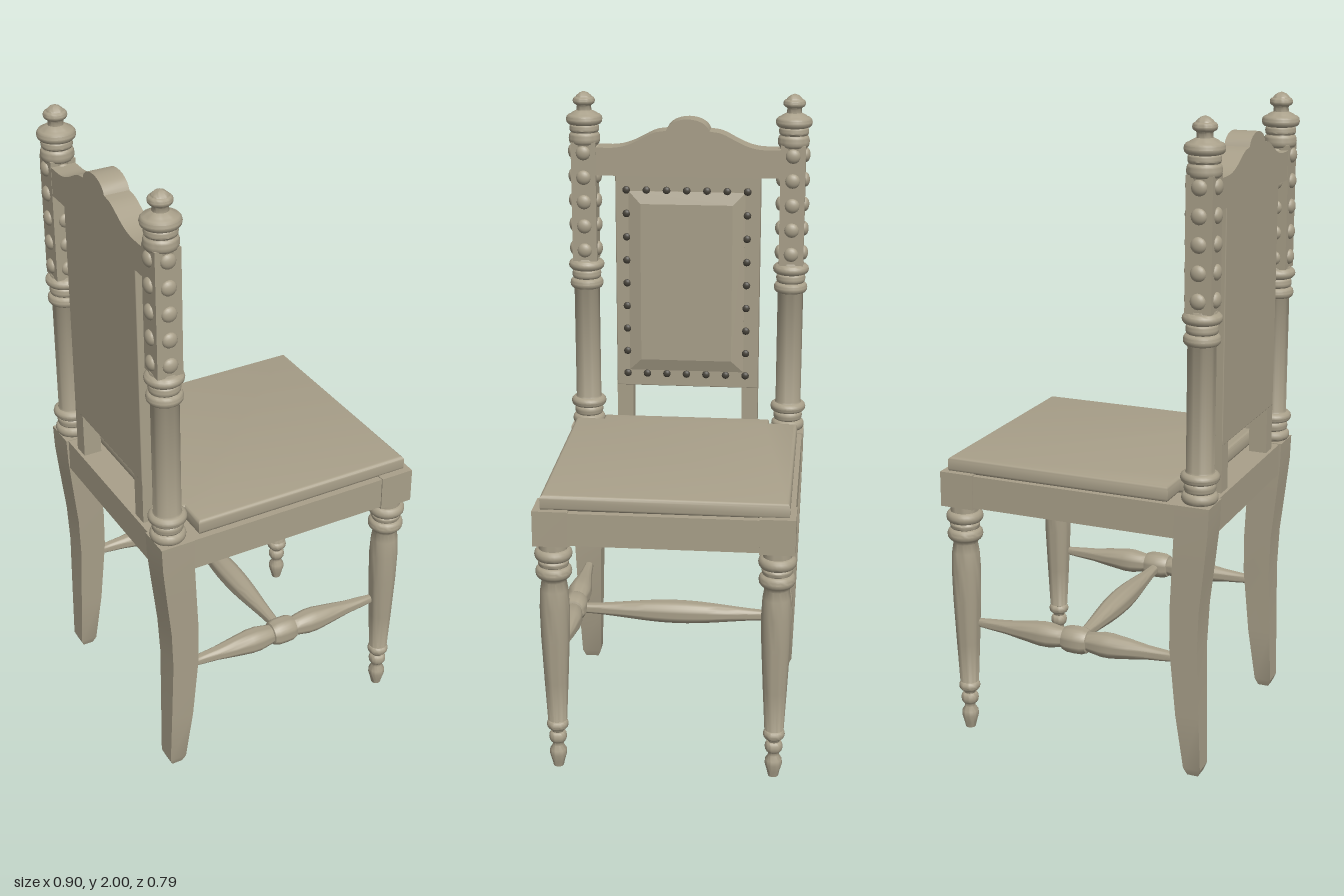
import * as THREE from 'three';
import { toCreasedNormals } from 'three/addons/utils/BufferGeometryUtils.js';
import { RoundedBoxGeometry } from 'three/addons/geometries/RoundedBoxGeometry.js';

const wood = new THREE.MeshStandardMaterial({ color: 0xa89f89 });
wood.name = 'wood';
const darkMetal = new THREE.MeshStandardMaterial({ color: 0x47433a });
darkMetal.name = 'dark metal';

const POST_X = -0.39, LEG_X = 0.39, SIDE_Z = 0.338;

export function createModel() {
  const chair = new THREE.Group();
  chair.name = 'chair';

  const add = (name, geometry, x = 0, y = 0, z = 0, material = wood, parent = chair) => {
    const mesh = new THREE.Mesh(geometry, material);
    mesh.name = name;
    mesh.position.set(x, y, z);
    parent.add(mesh);
    return mesh;
  };
  // box given by its limits
  const box = (name, x0, x1, y0, y1, z0, z1) =>
    add(name, new THREE.BoxGeometry(x1 - x0, y1 - y0, z1 - z0), (x0 + x1) / 2, (y0 + y1) / 2, (z0 + z1) / 2);
  // turned part from [radius, height] pairs
  const turned = (pairs) => toCreasedNormals(
    new THREE.LatheGeometry(pairs.map(([r, y]) => new THREE.Vector2(r, y)), 28), 0.75);
  // rounded ring on a turned part: centre height, half height, inner and outer radius
  const ring = (y, h, r0, r1) => [-90, -60, -30, 0, 30, 60, 90].map((d) => {
    const a = THREE.MathUtils.degToRad(d);
    return [r0 + (r1 - r0) * Math.cos(a), y + h * Math.sin(a)];
  });

  // ---- back posts
  const collar = (y) => [
    ...ring(y - 0.031, 0.016, 0.044, 0.055), ...ring(y, 0.014, 0.042, 0.048), ...ring(y + 0.031, 0.016, 0.044, 0.059),
  ];
  const lowerPost = turned([[0, 0.88], [0.044, 0.88], ...collar(0.928), [0.042, 0.98], [0.042, 1.35],
    ...collar(1.402), [0.042, 1.455], [0, 1.455]]);
  const finial = turned([[0, 1.82], [0.042, 1.82], ...ring(1.85, 0.018, 0.044, 0.051), ...ring(1.882, 0.012, 0.043, 0.048),
    ...ring(1.911, 0.017, 0.044, 0.059), [0.04, 1.932], [0.024, 1.94], [0.023, 1.953],
    ...ring(1.97, 0.012, 0.026, 0.036), [0.024, 1.986], [0.014, 1.995], [0, 2]]);
  const stud = new THREE.SphereGeometry(0.024, 16, 6, 0, Math.PI * 2, 0, Math.PI / 2).scale(1, 0.65, 1).rotateX(Math.PI / 2);

  // ---- curved back legs: [y, xBack, xFront, zInner, zOuter]
  const legRule = [
    [0, -0.405, -0.37, 0.318, 0.362], [0.025, -0.415, -0.36, 0.308, 0.372], [0.2, -0.41, -0.335, 0.302, 0.378],
    [0.42, -0.404, -0.316, 0.295, 0.384], [0.55, -0.409, -0.317, 0.29, 0.387],
    [0.7, -0.425, -0.325, 0.287, 0.39], [0.8, -0.435, -0.33, 0.285, 0.392], [0.88, -0.438, -0.33, 0.285, 0.392],
  ];
  const backLeg = (side) => {
    const n = legRule.length - 1;
    const g = new THREE.BoxGeometry(1, 1, 1, 1, n, 1);
    const p = g.attributes.position;
    for (let i = 0; i < p.count; i++) {
      const [y, xb, xf, zi, zo] = legRule[Math.round((p.getY(i) + 0.5) * n)];
      const z = p.getZ(i) * side > 0 ? zo : zi;
      p.setXYZ(i, p.getX(i) > 0 ? xf : xb, y, z * side);
    }
    return toCreasedNormals(g, 0.4);
  };

  // ---- turned front legs
  const frontLeg = turned([[0, 0], [0.016, 0.002], [0.02, 0.02], [0.027, 0.045], [0.026, 0.06], [0.017, 0.075],
    [0.017, 0.085], ...ring(0.105, 0.018, 0.018, 0.028), [0.02, 0.13], ...ring(0.148, 0.014, 0.024, 0.034),
    [0.03, 0.165], [0.037, 0.3], [0.044, 0.45], [0.046, 0.55], [0.043, 0.61], [0.038, 0.64],
    ...ring(0.67, 0.018, 0.044, 0.056), ...ring(0.699, 0.01, 0.042, 0.047), ...ring(0.728, 0.018, 0.044, 0.058),
    [0.044, 0.75], [0.044, 0.78]]);

  // ---- turned stretchers
  const halfStretcher = [[0.014, 0.335], [0.018, 0.29], [0.022, 0.24], [0.031, 0.18], [0.039, 0.12], [0.039, 0.09],
    [0.033, 0.055], [0.03, 0.042], [0.036, 0.04], [0.042, 0.025], [0.043, 0]];
  const sideStretcher = turned([...halfStretcher.map(([r, y]) => [r, -y]), ...halfStretcher.slice(0, -1).reverse()])
    .rotateZ(-Math.PI / 2);
  const crossProfile = [];
  for (let i = -10; i <= 10; i++) {
    const t = i / 10;
    crossProfile.push([0.016 + 0.022 * (0.5 + 0.5 * Math.cos(t * Math.PI)), t * 0.335]);
  }
  add('crossStretcher', turned(crossProfile).rotateX(Math.PI / 2), 0.01, 0.368, 0);

  for (const side of [1, -1]) {
    const hand = side > 0 ? 'left' : 'right';
    const z = SIDE_Z * side;
    const post = new THREE.Group();
    post.name = hand + 'BackPost';
    post.position.set(POST_X, 0, z);
    chair.add(post);
    add('postShaft', lowerPost, 0, 0, 0, wood, post);
    add('postFinial', finial, 0, 0, 0, wood, post);
    add('postBlock', new THREE.BoxGeometry(0.08, 0.39, 0.08), 0, 1.645, 0, wood, post);
    // studs on all four faces of the block
    for (let f = 0; f < 4; f++) {
      const a = f * Math.PI / 2;
      for (let i = 0; i < 5; i++) {
        add('postStud', stud, Math.sin(a) * 0.039, 1.487 + i * 0.08, Math.cos(a) * 0.039, wood, post).rotation.y = a;
      }
    }
    add(hand + 'BackLeg', backLeg(side));
    add(hand + 'FrontLeg', frontLeg, LEG_X, 0, z);
    add(hand + 'FrontLegBlock', new THREE.BoxGeometry(0.11, 0.112, 0.108), 0.388, 0.825, z);
    add(hand + 'SideStretcher', sideStretcher, 0.01, 0.372, z);
    box(hand + 'SideRail', -0.34, 0.34, 0.775, 0.878, side > 0 ? 0.3 : -0.388, side > 0 ? 0.388 : -0.3);
    box(hand + 'BackStile', -0.42, -0.362, 0.87, 1.04, side > 0 ? 0.183 : -0.236, side > 0 ? 0.236 : -0.183);
  }

  // ---- seat frame
  box('frontRail', 0.36, 0.444, 0.775, 0.878, -0.285, 0.285);
  box('backRail', -0.43, -0.34, 0.775, 0.878, -0.29, 0.29);
  box('seatBoard', -0.36, 0.38, 0.78, 0.874, -0.31, 0.31);

  // ---- seat cushion, narrowed between the posts
  const b = 0.012;
  const cushion = new THREE.Shape([
    [-0.345, -0.278], [-0.303, -0.278], [-0.303, -0.373], [0.425, -0.373],
    [0.425, 0.37], [-0.303, 0.37], [-0.303, 0.278], [-0.345, 0.278],
  ].map(([x, z]) => new THREE.Vector2(x, z)));
  const cushionGeometry = new THREE.ExtrudeGeometry(cushion, {
    depth: 0.026, bevelEnabled: true, bevelSize: b, bevelOffset: -b, bevelThickness: b, bevelSegments: 4,
  }).rotateX(Math.PI / 2);
  add('seatCushion', toCreasedNormals(cushionGeometry, 0.6), 0, 0.913, 0);

  // ---- back panel with raised upholstery
  add('backPanel', new RoundedBoxGeometry(0.06, 0.72, 0.472, 1, 0.003), -0.391, 1.385, 0);
  const w = 0.15, y0 = 1.12, y1 = 1.645;
  const pad = new THREE.Shape([[-w, y0], [w, y0], [w, y1], [-w, y1]].map(([u, v]) => new THREE.Vector2(u, v)));
  const padGeometry = new THREE.ExtrudeGeometry(pad, {
    depth: 0.004, bevelEnabled: true, bevelSize: 0.04, bevelThickness: 0.013, bevelSegments: 1,
  });
  // keep the slope on the front only
  add('backPad', toCreasedNormals(padGeometry.rotateY(Math.PI / 2), 0.2), -0.364, 0, 0.003);

  // nails around the panel border
  const nail = new THREE.SphereGeometry(0.013, 12, 5, 0, Math.PI * 2, 0, Math.PI / 2).scale(1, 0.7, 1).rotateZ(-Math.PI / 2);
  const addNail = (y, z) => add('panelNail', nail, -0.362, y, z, darkMetal);
  for (let i = 0; i < 7; i++) {
    const z = -0.194 + i * 0.0657;
    addNail(1.688, z);
    addNail(1.068, z);
  }
  for (let i = 1; i < 8; i++) {
    const y = 1.068 + i * 0.0775;
    addNail(y, -0.194);
    addNail(y, 0.2);
  }

  // ---- scalloped crest rail
  const crest = new THREE.Shape();
  crest.moveTo(-0.31, 1.735);
  crest.lineTo(0.31, 1.735);
  crest.lineTo(0.31, 1.825);
  crest.lineTo(0.25, 1.825);
  crest.bezierCurveTo(0.18, 1.826, 0.14, 1.868, 0.1, 1.878);
  crest.lineTo(0.07, 1.882);
  crest.bezierCurveTo(0.055, 1.932, -0.055, 1.932, -0.07, 1.882);
  crest.lineTo(-0.1, 1.878);
  crest.bezierCurveTo(-0.14, 1.868, -0.18, 1.826, -0.25, 1.825);
  crest.lineTo(-0.31, 1.825);
  const crestGeometry = new THREE.ExtrudeGeometry(crest, { depth: 0.078, bevelEnabled: false, curveSegments: 12 })
    .rotateY(Math.PI / 2);
  add('crestRail', toCreasedNormals(crestGeometry, 0.5), -0.429, 0, 0);

  return chair;
}
